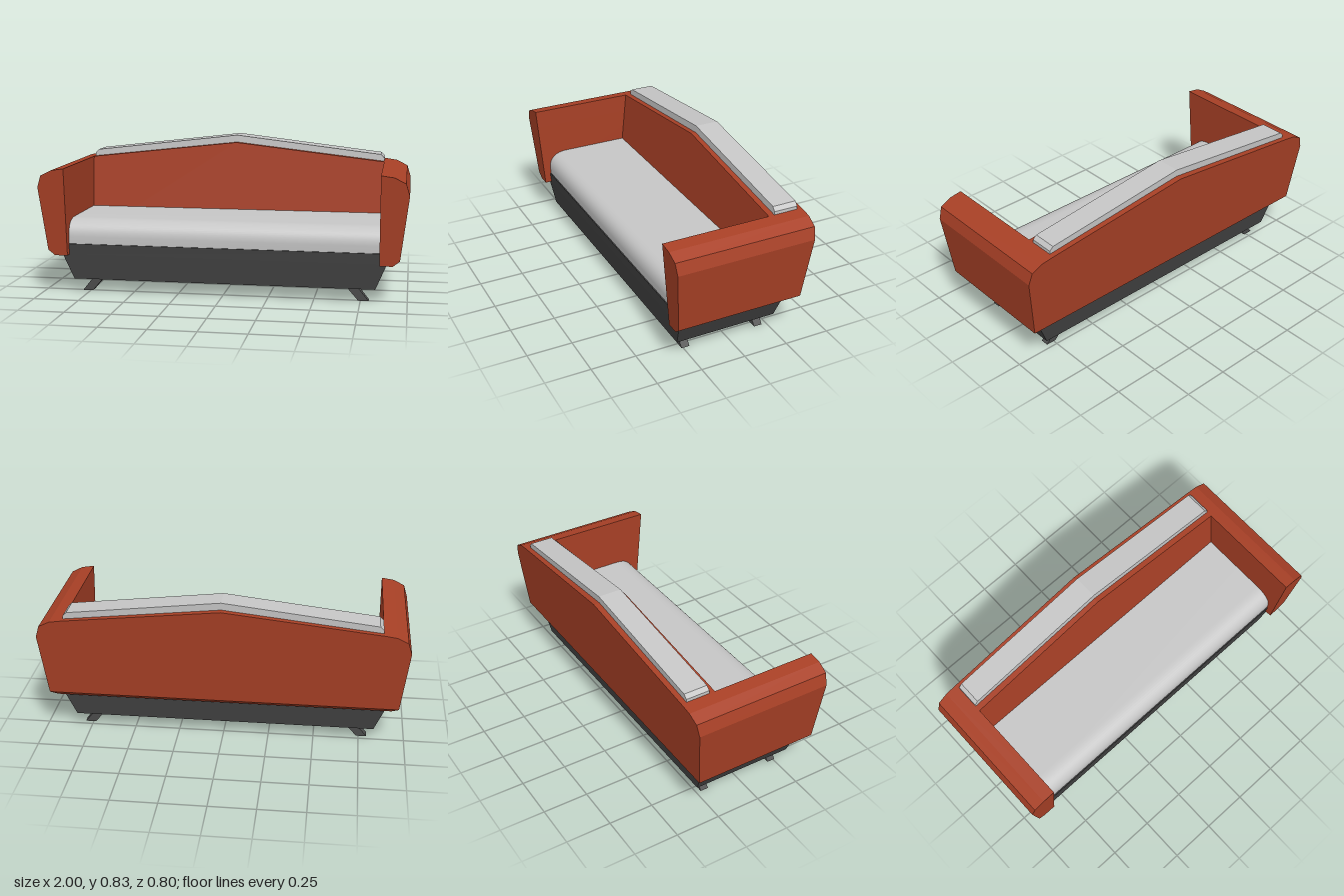
import * as THREE from 'three';
import { toCreasedNormals } from 'three/addons/utils/BufferGeometryUtils.js';

const paint = (name, color) => {
  const m = new THREE.MeshStandardMaterial({ color });
  m.name = name;
  return m;
};

// Stack of rectangles [y, x0, x1, z0, z1] from bottom to top, flat shaded
function stack(rows) {
  const ring = ([y, x0, x1, z0, z1]) => [[x0, y, z1], [x1, y, z1], [x1, y, z0], [x0, y, z0]];
  const rings = rows.map(ring);
  const pos = [];
  const quad = (a, b, c, d) => pos.push(...a, ...b, ...c, ...a, ...c, ...d);
  for (let r = 0; r + 1 < rings.length; r++) {
    for (let i = 0; i < 4; i++) {
      const j = (i + 1) % 4;
      quad(rings[r][i], rings[r][j], rings[r + 1][j], rings[r + 1][i]);
    }
  }
  const first = rings[0], last = rings[rings.length - 1];
  quad(first[3], first[2], first[1], first[0]);
  quad(...last);
  const g = new THREE.BufferGeometry();
  g.setAttribute('position', new THREE.Float32BufferAttribute(pos, 3));
  g.computeVertexNormals();
  return g;
}

const mirrorRows = (rows) => rows.map(([y, x0, x1, z0, z1]) => [y, -x1, -x0, z0, z1]);

// Front outline extruded in z, leaning back by `lean` per unit of height above y0
function leaningSlab(points, zBack, zFront, y0, lean) {
  const shape = new THREE.Shape(points.map(([x, y]) => new THREE.Vector2(x, y)));
  const g = new THREE.ExtrudeGeometry(shape, { depth: zFront - zBack, bevelEnabled: false });
  const p = g.attributes.position;
  for (let i = 0; i < p.count; i++) {
    p.setZ(i, p.getZ(i) + zBack - lean * (p.getY(i) - y0));
  }
  g.computeVertexNormals();
  return g;
}

export function createModel() {
  const model = new THREE.Group();
  model.name = 'sofa';
  const red = paint('rust upholstery', 0xa84026);
  const grey = paint('light grey cushion', 0xc6c6c6);
  const dark = paint('charcoal base', 0x424242);
  const legDark = paint('leg grey', 0x4b4b4b);
  const add = (name, geometry, material) => {
    const m = new THREE.Mesh(geometry, material);
    m.name = name;
    model.add(m);
  };

  // Armrests: faceted outer side, flaring towards the top
  const back = (y) => -0.345 - 0.1 * (y - 0.245);
  const front = (y) => 0.36 + 0.083 * (y - 0.215);
  const arm = [[0.215, 0.92], [0.245, 0.957], [0.595, 1.0], [0.66, 0.98], [0.69, 0.92], [0.7, 0.852]]
    .map(([y, x]) => [y, 0.85, x, y < 0.23 ? -0.31 : back(y), front(y)]);
  add('leftArm', stack(arm), red);
  add('rightArm', stack(mirrorRows(arm)), red);

  // Backrest with a gabled top and chamfered lower edge
  add('backrest', leaningSlab(
    [[-0.85, 0.245], [0.85, 0.245], [0.85, 0.7], [0, 0.795], [-0.85, 0.7]],
    -0.345, -0.15, 0.245, 0.1), red);
  add('backrestLowerEdge', stack([
    [0.215, -0.85, 0.85, -0.31, -0.15],
    [0.245, -0.85, 0.85, -0.345, -0.15]]), red);

  // Long cushion following the gable
  add('topCushion', leaningSlab(
    [[-0.85, 0.69], [0, 0.785], [0.85, 0.69], [0.85, 0.718], [0.83, 0.738],
      [0, 0.835], [-0.83, 0.738], [-0.85, 0.718]],
    -0.361, -0.228, 0.7, 0.05), grey);

  // Seat cushion with a rounded front edge, drawn as (z, y) and swept across x
  const seat = new THREE.Shape();
  seat.moveTo(-0.2, 0.275);
  seat.lineTo(0.322, 0.275);
  seat.lineTo(0.325, 0.315);
  seat.bezierCurveTo(0.325, 0.37, 0.295, 0.408, 0.22, 0.41);
  seat.lineTo(-0.2, 0.41);
  const seatGeo = new THREE.ExtrudeGeometry(seat, { depth: 1.7, bevelEnabled: false, curveSegments: 14 });
  seatGeo.translate(0, 0, -0.85);
  seatGeo.rotateY(-Math.PI / 2);
  add('seatCushion', toCreasedNormals(seatGeo, 0.6), grey);

  // Tapered base
  add('base', stack([
    [0.075, -0.83, 0.83, -0.27, 0.305],
    [0.215, -0.888, 0.888, -0.289, 0.322],
    [0.275, -0.89, 0.89, -0.297, 0.328]]), dark);

  // Four splayed legs
  for (const [end, z] of [['front', 0.236], ['back', -0.2005]]) {
    const leg = [
      [0, 0.738, 0.795, z - 0.0225, z + 0.0225],
      [0.08, 0.67, 0.73, z - 0.0255, z + 0.0255]];
    add(end + 'LeftLeg', stack(leg), legDark);
    add(end + 'RightLeg', stack(mirrorRows(leg)), legDark);
  }
  return model;
}
